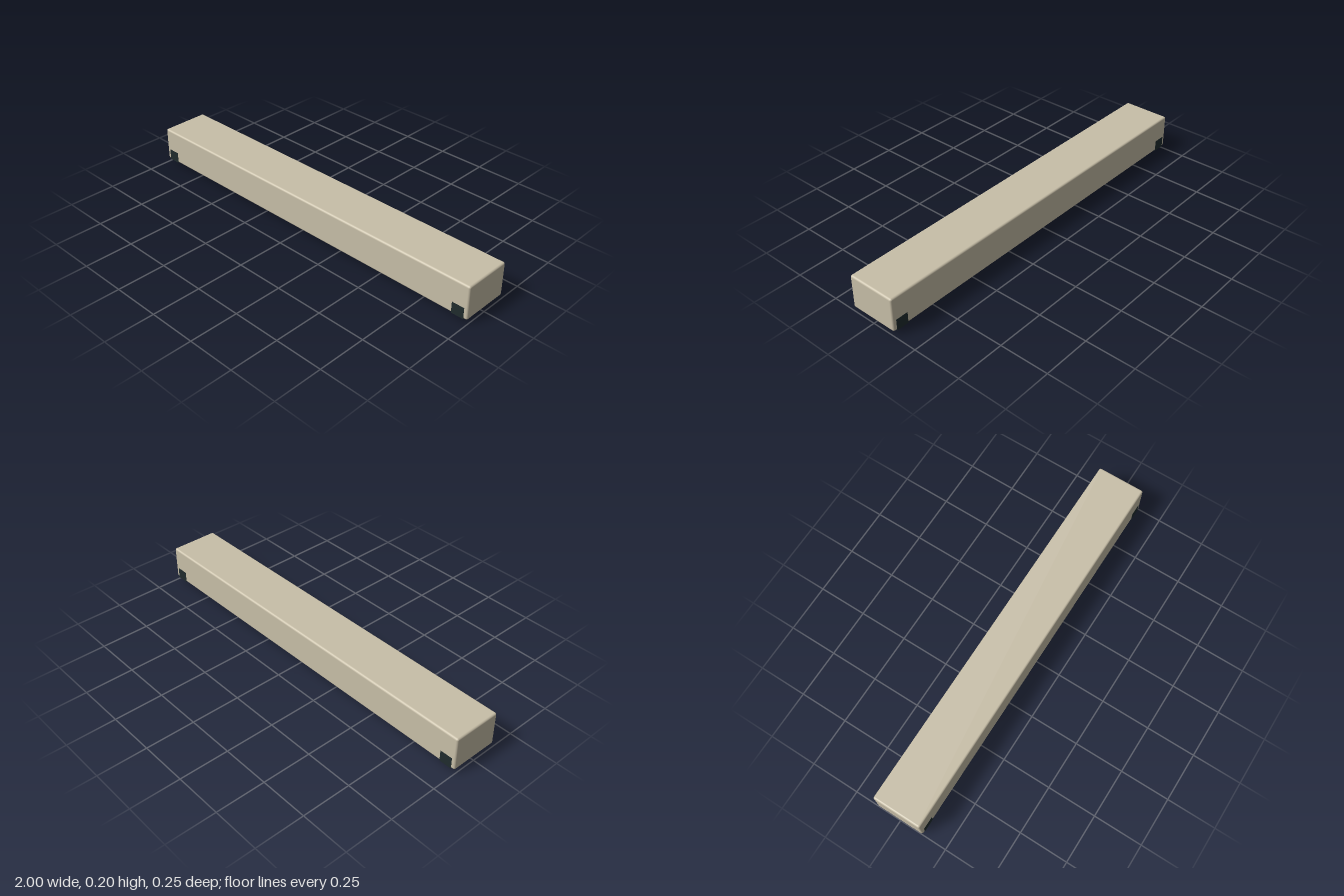
import * as THREE from 'three';
import { RoundedBoxGeometry } from 'three/addons/geometries/RoundedBoxGeometry.js';

export function createModel() {
  const model = new THREE.Group();
  const beige = new THREE.MeshStandardMaterial({ color: 0xc8bfa8 });
  beige.name = 'beige casing';
  const dark = new THREE.MeshStandardMaterial({ color: 0x1f2b2d });
  dark.name = 'dark trim';

  // Adds a box between two heights; a radius of 0 keeps the edges sharp
  function addBox(name, width, bottom, top, depth, radius, material, x = 0) {
    const height = top - bottom;
    const geometry = radius > 0
      ? new RoundedBoxGeometry(width, height, depth, 4, radius)
      : new THREE.BoxGeometry(width, height, depth);
    const mesh = new THREE.Mesh(geometry, material);
    mesh.name = name;
    mesh.position.set(x, (bottom + top) / 2, 0);
    model.add(mesh);
  }

  // Long softly rounded casing
  addBox('casing', 2, 0.022, 0.197, 0.252, 0.01, beige);

  // Recessed frame and panel stepping down underneath
  addBox('bottomFrame', 1.91, 0.008, 0.036, 0.2, 0.004, dark);
  addBox('bottomPanel', 1.82, 0, 0.02, 0.16, 0.004, beige);

  // End brackets running through the casing, just proud of its sides
  for (const side of [-1, 1]) {
    addBox(side > 0 ? 'leftBracket' : 'rightBracket',
      0.064, 0.0215, 0.08, 0.2535, 0, dark, side * 0.949);
  }

  return model;
}
